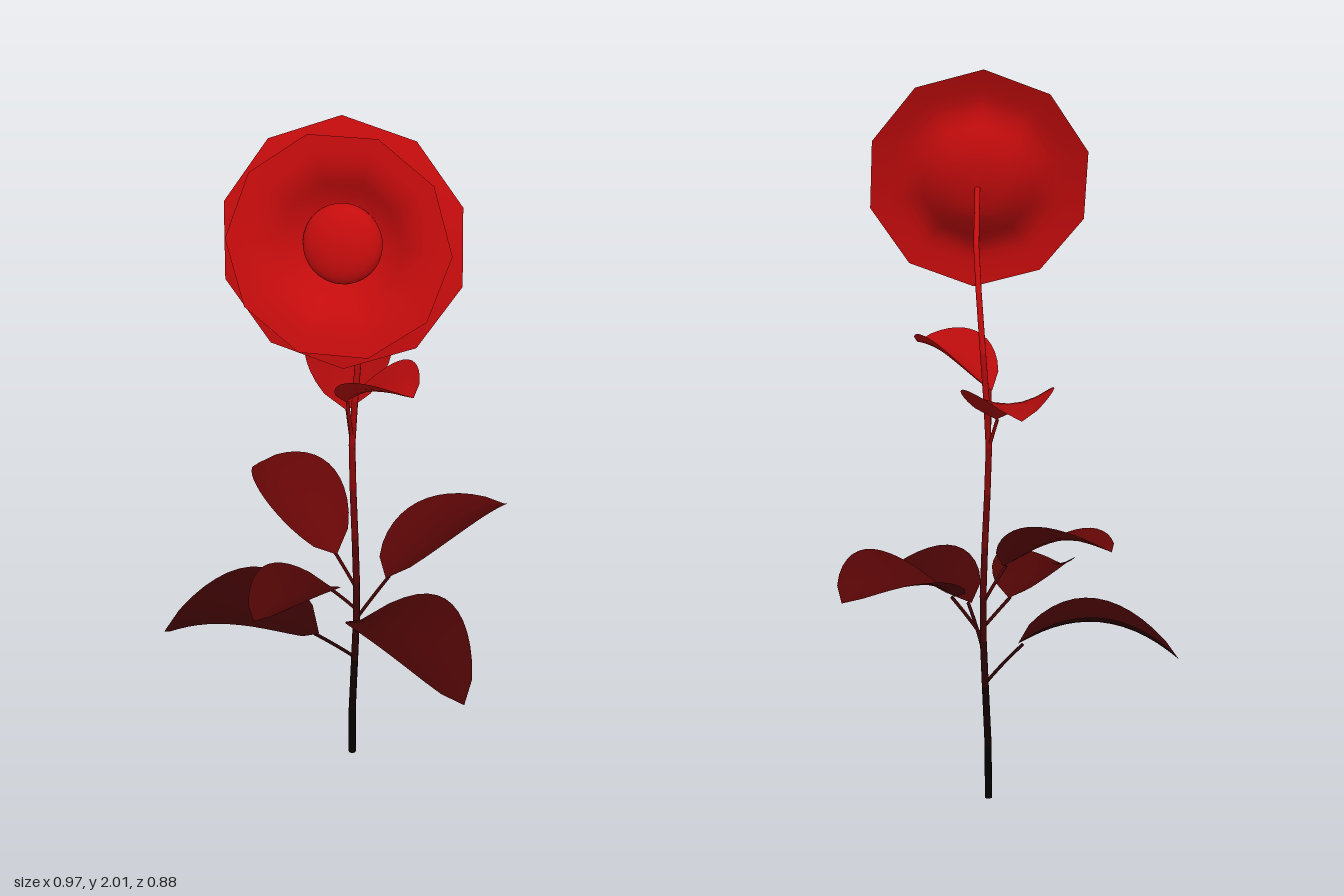
import * as THREE from 'three';

const V = (x, y, z) => new THREE.Vector3(x, y, z);

// Colour fades from black at the root to red at the bloom
function tint(y) {
  const t = THREE.MathUtils.clamp((y - 0.15) / 1.15, 0.02, 1);
  const color = new THREE.Color().setRGB(0.77 * t, 0.045 * t, 0.05 * t, THREE.SRGBColorSpace);
  return new THREE.MeshStandardMaterial({ color, side: THREE.DoubleSide });
}

function add(parent, name, geometry, y) {
  const mesh = new THREE.Mesh(geometry, tint(y));
  mesh.name = name;
  parent.add(mesh);
  return mesh;
}

// Tapered rod between two points
function rod(parent, name, a, b, ra, rb) {
  const dir = b.clone().sub(a);
  const mesh = add(parent, name, new THREE.CylinderGeometry(rb, ra, dir.length() + 0.004, 8), (a.y + b.y) / 2);
  mesh.position.copy(a).add(b).multiplyScalar(0.5);
  mesh.quaternion.setFromUnitVectors(V(0, 1, 0), dir.normalize());
}

// Arched, trough-shaped blade with a blunt base and a pointed tip
function leafBlade(base, tip, halfWidth, arch, cup, roll) {
  const geo = new THREE.PlaneGeometry(2, 1, 6, 14);
  const p = geo.attributes.position;
  const side = V(base.z - tip.z, 0, tip.x - base.x).normalize();
  const q = V(0, 0, 0);
  for (let i = 0; i < p.count; i++) {
    const s = p.getX(i);
    const t = THREE.MathUtils.clamp(p.getY(i) + 0.5, 0, 1);
    const w = Math.pow(Math.max(0, Math.sin(Math.PI * Math.pow(t, 0.84))), 0.6);
    q.lerpVectors(base, tip, t).addScaledVector(side, s * w * halfWidth);
    q.y += arch * 4 * t * (1 - t) + w * (cup * s * s + roll * s);
    p.setXYZ(i, q.x, q.y, q.z);
  }
  geo.computeVertexNormals();
  return geo;
}

// Whorl of petals: a cup that flares out to a ten-sided rim
function petalRing(profile, turn) {
  const curve = new THREE.SplineCurve(profile.map(([r, d]) => new THREE.Vector2(r, d)));
  return new THREE.LatheGeometry(curve.getPoints(14), 10, turn).rotateX(Math.PI / 2);
}

export function createModel() {
  const model = new THREE.Group();
  model.name = 'flower';

  // Stem, bending forward at the top
  const stem = new THREE.Group();
  stem.name = 'stem';
  model.add(stem);
  const path = [
    V(-0.036, 0, 0.055), V(-0.035, 0.15, 0.055), V(-0.026, 0.32, 0.055), V(-0.02, 0.45, 0.054),
    V(-0.02, 0.58, 0.052), V(-0.026, 0.72, 0.05), V(-0.036, 0.87, 0.045), V(-0.044, 1.0, 0.038),
    V(-0.042, 1.13, 0.027), V(-0.036, 1.26, 0.018), V(-0.016, 1.42, 0.032), V(0.015, 1.54, 0.078),
    V(0.05, 1.62, 0.15), V(0.078, 1.68, 0.208),
  ];
  for (let i = 0; i < path.length - 1; i++) {
    const r = (k) => 0.0105 - 0.003 * (k / path.length);
    rod(stem, 'stemSection', path[i], path[i + 1], r(i), r(i + 1));
  }

  // Leaves: stalk root, blade base, tip, half width, arch, cup, roll
  const leaves = [
    [V(-0.02, 0.46, 0.053), V(0.037, 0.585, -0.007), V(0.14, 0.66, -0.44), 0.126, 0.055, 0.04, 0.025],
    [V(-0.044, 1.0, 0.038), V(-0.077, 1.085, 0.017), V(-0.3, 1.15, -0.288), 0.12, 0.045, 0.04, 0],
    [V(-0.02, 0.56, 0.053), V(-0.068, 0.665, 0.078), V(-0.445, 0.775, -0.045), 0.11, 0.05, 0.038, 0.02],
    [V(-0.026, 0.33, 0.055), V(-0.085, 0.43, 0.14), V(-0.485, 0.385, 0.343), 0.137, 0.09, 0.036, 0.01],
    [V(-0.02, 0.49, 0.053), V(-0.075, 0.57, 0.1), V(-0.1, 0.6, 0.4), 0.11, 0.035, 0.04, 0],
    [V(-0.02, 0.42, 0.054), V(0.058, 0.53, 0.135), V(0.483, 0.49, 0.247), 0.142, 0.09, 0.036, 0],
    [V(-0.044, 1.02, 0.036), V(-0.033, 1.15, 0.078), V(0.222, 1.26, 0.125), 0.102, 0.03, 0.055, 0],
  ];
  for (const [root, base, tip, halfWidth, arch, cup, roll] of leaves) {
    const leaf = new THREE.Group();
    leaf.name = 'leaf';
    model.add(leaf);
    const end = base.clone().lerp(tip, 0.03);
    const bend = root.clone().lerp(base, 0.5);
    const stalk = new THREE.QuadraticBezierCurve3(root, bend, end);
    add(leaf, 'leafStalk', new THREE.TubeGeometry(stalk, 6, 0.005, 5), (root.y + base.y) / 2);
    add(leaf, 'leafBlade', leafBlade(base, tip, halfWidth, arch, cup, roll), (base.y + tip.y) / 2 + arch / 2);
  }

  // Bloom, tilted up and turned to one side
  const bloom = new THREE.Group();
  bloom.name = 'bloom';
  bloom.position.set(0.1, 1.7, 0.258);
  bloom.lookAt(bloom.position.clone().add(V(0.42, 0.235, 0.88)));
  model.add(bloom);
  add(bloom, 'backPetals', petalRing(
    [[0, -0.058], [0.08, -0.048], [0.14, -0.02], [0.18, 0.005], [0.23, 0.016], [0.312, 0]], 0.05), 1.7);
  add(bloom, 'frontPetals', petalRing(
    [[0, -0.035], [0.08, -0.025], [0.13, 0], [0.175, 0.032], [0.22, 0.05], [0.281, 0.056]], Math.PI / 10), 1.7);
  add(bloom, 'bloomCentre', new THREE.SphereGeometry(0.1, 24, 16).scale(1, 1, 0.45), 1.7);

  return model;
}
